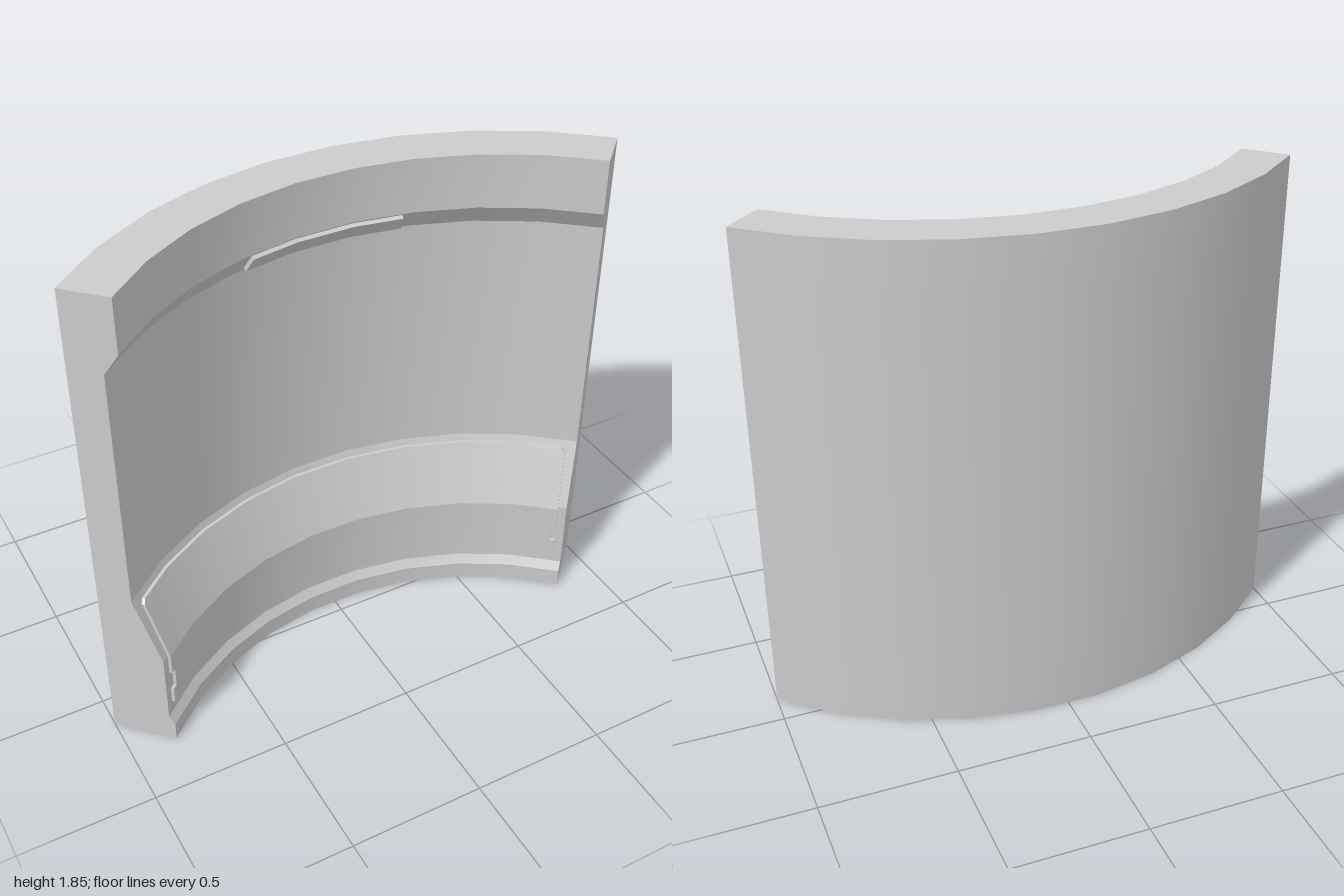
import * as THREE from 'three';
import { toCreasedNormals } from 'three/addons/utils/BufferGeometryUtils.js';

const CENTRE_Z = 1.119; // axis of the curved wall
const STEP = 10;        // degrees per facet
const OUTER = 1.414;
const rad = THREE.MathUtils.degToRad;

// Point on the faceted wall: angle in degrees, corner radius, height
function wallPoint(angle, r, y) {
  const mid = STEP * Math.round(angle / STEP);
  const q = r * Math.cos(rad(STEP / 2)) / Math.cos(rad(angle - mid));
  return [q * Math.sin(rad(angle)), y, CENTRE_Z - q * Math.cos(rad(angle))];
}

// Curved slab between matching front and back rows of [radius, y, halfAngle]
function slab(name, front, back, material) {
  const minHalf = Math.min(...front.map((row) => row[2]));
  const inner = [];
  for (let a = -35; a <= 35; a += STEP) if (Math.abs(a) < minHalf - 0.1) inner.push(a);
  const grid = (rows) => rows.map(([r, y, h]) => [-h, ...inner, h].map((a) => wallPoint(a, r, y)));
  const F = grid(front), B = grid(back);
  const top = F.length - 1, end = inner.length + 1;
  const pos = [];
  const quad = (a, b, c, d) => pos.push(...a, ...b, ...c, ...a, ...c, ...d);

  for (let j = 0; j < top; j++) {
    for (let i = 0; i < end; i++) {
      quad(F[j][i], F[j][i + 1], F[j + 1][i + 1], F[j + 1][i]);
      quad(B[j][i + 1], B[j][i], B[j + 1][i], B[j + 1][i + 1]);
    }
    // end walls
    quad(F[j][end], B[j][end], B[j + 1][end], F[j + 1][end]);
    quad(B[j][0], F[j][0], F[j + 1][0], B[j + 1][0]);
  }
  for (let i = 0; i < end; i++) {
    quad(F[0][i], B[0][i], B[0][i + 1], F[0][i + 1]);
    quad(F[top][i], F[top][i + 1], B[top][i + 1], B[top][i]);
  }
  const geometry = new THREE.BufferGeometry();
  geometry.setAttribute('position', new THREE.Float32BufferAttribute(pos, 3));
  const mesh = new THREE.Mesh(toCreasedNormals(geometry, 0.25), material);
  mesh.name = name;
  return mesh;
}

// Thin plate standing proud of the wall by (inward, up)
function plate(name, rows, inward, up, material) {
  const front = rows.map(([r, y, h]) => [r - inward, y + up, h]);
  return slab(name, front, rows, material);
}

export function createModel() {
  const group = new THREE.Group();
  group.name = 'curvedWallSection';
  const material = new THREE.MeshStandardMaterial({ color: 0xcccccc });

  // Wall with skirting, sloped plinth and overhanging upper band
  const profile = [
    [1.174, 0], [1.174, 0.07], [1.195, 0.105], [1.195, 0.38],
    [1.29, 0.64], [1.29, 1.57], [1.237, 1.65], [1.237, 1.85],
  ].map(([r, y]) => [r, y, 45]);
  group.add(slab('wall', profile, profile.map(([, y]) => [OUTER, y, 45]), material));

  // Raised lower panel with clipped corners and a notch in each side
  group.add(plate('lowerPanel', [
    [1.195, 0.14, 42.8], [1.195, 0.155, 43.5],
    [1.195, 0.22, 43.5], [1.195, 0.22, 42.5],
    [1.195, 0.30, 42.5], [1.195, 0.30, 43.5],
    [1.195, 0.38, 43.5], [1.275, 0.60, 43.3], [1.281, 0.615, 42.6],
  ], 0.012, 0, material));

  // Light strip under the overhang
  group.add(plate('lightStrip', [
    [1.28, 1.585, 13.4], [1.2403, 1.645, 13.2],
  ], 0.012, -0.008, material));

  return group;
}
